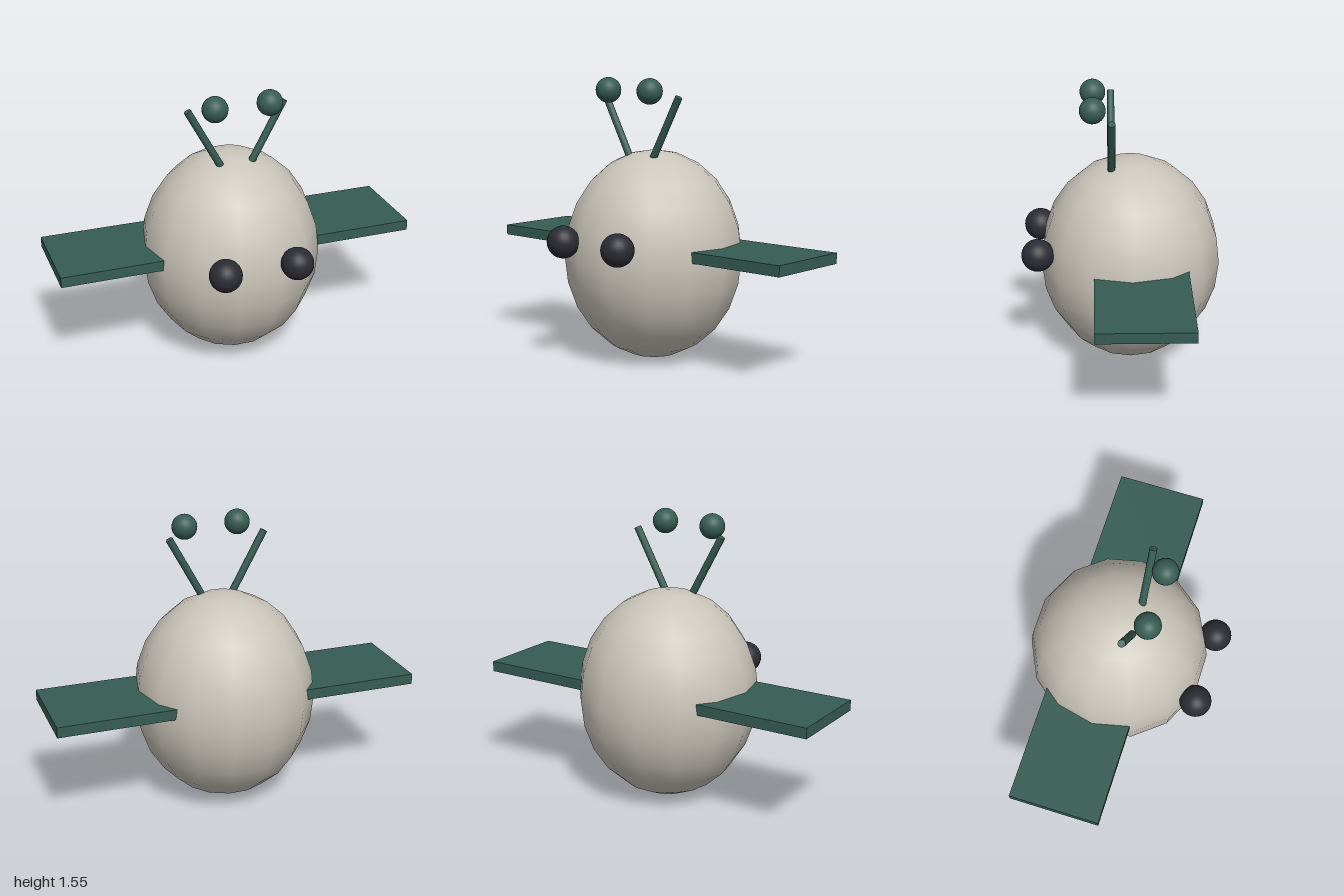
import * as THREE from 'three';

const shell = new THREE.MeshStandardMaterial({ color: 0xcbc6bb });
shell.name = 'warm grey';
const green = new THREE.MeshStandardMaterial({ color: 0x365c53 });
green.name = 'dark green';
const dark = new THREE.MeshStandardMaterial({ color: 0x2b2b34 });
dark.name = 'near black';

function add(parent, name, geometry, material, x, y, z) {
  const mesh = new THREE.Mesh(geometry, material);
  mesh.name = name;
  mesh.position.set(x, y, z);
  parent.add(mesh);
  return mesh;
}

export function createModel() {
  const model = new THREE.Group();
  model.name = 'flyingBug';

  // Egg-shaped body with a coarse outline and smooth shading
  const body = add(model, 'body', new THREE.SphereGeometry(1, 14, 12), shell, 0, 0.58, -0.053);
  body.scale.set(0.495, 0.577, 0.495);

  const eye = new THREE.SphereGeometry(0.088, 24, 16);
  const ball = new THREE.SphereGeometry(0.069, 24, 16);
  const stalk = new THREE.CylinderGeometry(0.02, 0.02, 0.4, 12);
  const wing = new THREE.BoxGeometry(0.7, 0.058, 0.5);

  // Mirrored parts
  for (const [side, s] of [['left', 1], ['right', -1]]) {
    add(model, side + 'Eye', eye, dark, s * 0.2, 0.682, 0.448);
    add(model, side + 'Wing', wing, green, s * 0.65, 0.632, -0.104);

    // Stalks lean outwards; the balls float in front of them
    const antenna = add(model, side + 'Antenna', stalk, green, s * 0.171, 1.275, 0.05);
    antenna.rotation.z = -s * 0.5;
    add(model, side + 'AntennaBall', ball, green, s * 0.15, 1.482, 0.148);
  }
  return model;
}
